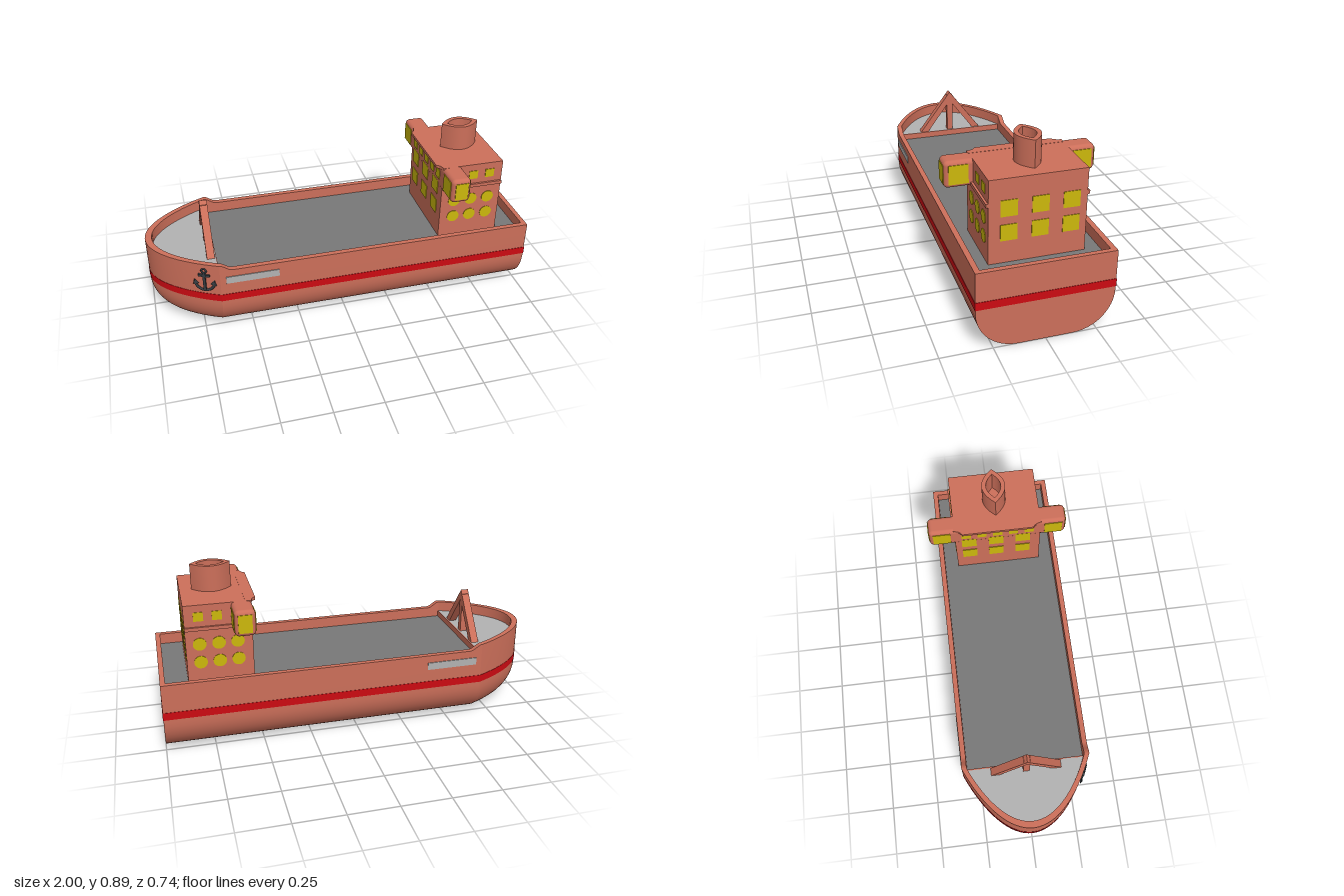
import * as THREE from 'three';
import { toCreasedNormals } from 'three/addons/utils/BufferGeometryUtils.js';
import { RoundedBoxGeometry } from 'three/addons/geometries/RoundedBoxGeometry.js';

const paint = (color) => new THREE.MeshStandardMaterial({ color, side: THREE.DoubleSide });
const HALF = 0.333, SHOULDER = -0.66, BILGE = 0.2, DECK = 0.345;

// Half of the hull plan, from the stern corner round to the bow tip
function halfPlan() {
  const bow = new THREE.CubicBezierCurve(
    new THREE.Vector2(SHOULDER, HALF), new THREE.Vector2(-0.83, 0.26),
    new THREE.Vector2(-1, 0.14), new THREE.Vector2(-1, 0));
  const side = [1];
  for (let i = 0; i <= 6; i++) side.push(-0.595 - i * 0.01);
  return [...side.map((x) => new THREE.Vector2(x, HALF)), ...bow.getPoints(18)];
}

// Closed ring: plan scaled in width and bow length, height given per x
function ring(widthScale, bowScale, sternX, height) {
  const half = halfPlan().map((p) => {
    const x = p.x > 0.99 ? sternX : p.x < SHOULDER ? SHOULDER + (p.x - SHOULDER) * bowScale : p.x;
    return new THREE.Vector3(x, height(x), p.y * widthScale);
  });
  const mirrored = half.slice(0, -1).reverse().map((p) => new THREE.Vector3(p.x, p.y, -p.z));
  return [...half, ...mirrored];
}

// Skin between successive rings, optionally closing the first ring underneath
function loft(rings, closeBottom) {
  const pos = [], n = rings[0].length;
  const tri = (...pts) => pts.forEach((p) => pos.push(p.x, p.y, p.z));
  for (let r = 0; r < rings.length - 1; r++) {
    for (let i = 0; i < n; i++) {
      const j = (i + 1) % n, a = rings[r], b = rings[r + 1];
      tri(a[i], b[i], a[j]);
      tri(b[i], b[j], a[j]);
    }
  }
  if (closeBottom) {
    const a = rings[0];
    for (let i = 0; i < (n - 1) / 2; i++) {
      tri(a[i], a[i + 1], a[n - 1 - i]);
      if (i < (n - 3) / 2) tri(a[i + 1], a[n - 2 - i], a[n - 1 - i]);
    }
  }
  const g = new THREE.BufferGeometry();
  g.setAttribute('position', new THREE.Float32BufferAttribute(pos, 3));
  return toCreasedNormals(g, 0.35);
}

// Plan shape (x, z) extruded downward from a top height
function slab(shape, top, depth) {
  const g = new THREE.ExtrudeGeometry(shape, { depth, bevelEnabled: false, curveSegments: 20 });
  return toCreasedNormals(g.rotateX(Math.PI / 2).translate(0, top, 0), 0.35);
}

function lens(path, r, control) {
  path.moveTo(0.7 - r, 0);
  path.quadraticCurveTo(0.7, control, 0.7 + r, 0);
  path.quadraticCurveTo(0.7, -control, 0.7 - r, 0);
  return path;
}

export function createModel() {
  const model = new THREE.Group();
  model.name = 'cargoShip';
  const clay = paint(0xcc6f5a), yellow = paint(0xccb80c), red = paint(0xcc0a12);
  const darkGrey = paint(0x787878), lightGrey = paint(0xb2b2b2), iron = paint(0x353b40);

  const add = (name, geometry, material, parent = model) => {
    const mesh = new THREE.Mesh(geometry, material);
    mesh.name = name;
    parent.add(mesh);
    return mesh;
  };
  // Box given by its limits
  const box = (name, material, x0, x1, y0, y1, z0, z1, parent) => {
    const mesh = add(name, new THREE.BoxGeometry(x1 - x0, y1 - y0, z1 - z0), material, parent);
    mesh.position.set((x0 + x1) / 2, (y0 + y1) / 2, (z0 + z1) / 2);
    return mesh;
  };

  // Hull: rounded bilge, topsides, rail and inner bulwark
  const rail = (x) => 0.402 + 0.032 * (1 - THREE.MathUtils.smoothstep(x, SHOULDER, -0.595));
  const rings = [];
  for (let i = 0; i <= 12; i++) {
    const a = (i / 12) * Math.PI / 2;
    const inset = BILGE * (1 - Math.sin(a)), y = BILGE * (1 - Math.cos(a));
    rings.push(ring(1 - inset / HALF, 1 - inset / 0.34, 1, () => y));
  }
  rings.push(ring(1, 1, 1, rail));
  rings.push(ring(0.92, 0.9, 0.975, rail));
  rings.push(ring(0.92, 0.9, 0.975, () => 0.32));
  add('hull', loft(rings, true), clay);
  const stripe = [0.215, 0.215, 0.255, 0.255].map((y, i) => {
    const out = i === 1 || i === 2;
    return ring(out ? 1.006 : 0.99, out ? 1.004 : 0.99, out ? 1.002 : 0.99, () => y);
  });
  add('redStripe', loft(stripe, false), red);

  // Decks
  box('mainDeck', darkGrey, SHOULDER, 0.978, 0.31, DECK, -0.31, 0.31);
  const bowShape = new THREE.Shape(ring(0.925, 0.905, 1, () => 0)
    .filter((p) => p.x <= SHOULDER + 1e-6).map((p) => new THREE.Vector2(p.x, p.z)));
  add('foredeck', slab(bowShape, 0.378, 0.04), lightGrey);
  box('foredeckStep', clay, SHOULDER - 0.004, SHOULDER + 0.003, 0.33, 0.378, -0.306, 0.306);

  // A-frame mast on the foredeck
  const mast = new THREE.Group();
  mast.name = 'mast';
  model.add(mast);
  box('mastPost', clay, -0.702, -0.668, 0.37, 0.6, -0.017, 0.017, mast);
  for (const s of [1, -1]) {
    const leg = new THREE.Shape([[0, 0.62], [s * 0.19, 0.37], [s * 0.145, 0.37], [0, 0.565]]
      .map(([z, y]) => new THREE.Vector2(-z, y)));
    const g = new THREE.ExtrudeGeometry(leg, { depth: 0.04, bevelEnabled: false });
    add('mastLeg', g.rotateY(Math.PI / 2).translate(-0.705, 0, 0), clay, mast);
  }

  // Side plates
  for (const s of [1, -1]) {
    box('sidePlate', lightGrey, -0.63, -0.36, 0.323, 0.362, s * HALF - 0.004, s * HALF + 0.004);
  }

  // Anchor on the bow
  const anchor = new THREE.Group();
  anchor.name = 'anchor';
  anchor.position.set(-0.735, 0.34, 0.3);
  anchor.rotation.y = -0.41;
  model.add(anchor);
  box('anchorShank', iron, -0.007, 0.007, -0.06, 0.045, -0.008, 0.007, anchor);
  box('anchorStock', iron, -0.03, 0.03, 0.024, 0.036, -0.008, 0.007, anchor);
  add('anchorRing', new THREE.TorusGeometry(0.012, 0.005, 6, 16), iron, anchor).position.y = 0.056;
  const arms = add('anchorArms', new THREE.TorusGeometry(0.05, 0.007, 6, 20, Math.PI * 0.9), iron, anchor);
  arms.rotation.z = Math.PI * 1.05;
  arms.position.y = -0.012;
  for (const s of [1, -1]) {
    const fluke = add('anchorFluke', new THREE.ConeGeometry(0.016, 0.032, 4), iron, anchor);
    fluke.scale.z = 0.5;
    fluke.position.set(s * 0.05, -0.01, 0);
    fluke.rotation.z = s * -0.25;
  }

  // Deckhouse with ledge, bridge wings and roof visor
  const house = new THREE.Group();
  house.name = 'deckhouse';
  model.add(house);
  box('houseBody', clay, 0.53, 0.86, 0.34, 0.76, -0.232, 0.232, house);
  box('sideLedge', clay, 0.535, 0.86, 0.63, 0.648, -0.243, 0.243, house);
  const wings = add('bridgeWings', new RoundedBoxGeometry(0.102, 0.132, 0.734, 4, 0.022), clay, house);
  wings.position.set(0.579, 0.694, 0);
  const visor = new THREE.Shape();
  visor.moveTo(0.56, -0.235);
  visor.lineTo(0.53, -0.235);
  visor.quadraticCurveTo(0.527, -0.2, 0.505, -0.19);
  visor.lineTo(0.505, 0.19);
  visor.quadraticCurveTo(0.527, 0.2, 0.53, 0.235);
  visor.lineTo(0.56, 0.235);
  add('roofVisor', slab(visor, 0.761, 0.016), clay, house);

  // Windows on the fore and aft faces
  const crossWindow = (x, y, z, w, h) =>
    box('window', yellow, x - 0.003, x + 0.003, y - h / 2, y + h / 2, z - w / 2, z + w / 2, house);
  for (const x of [0.53, 0.86]) {
    for (const y of [0.497, 0.617]) {
      for (const z of [-0.157, -0.01, 0.137]) crossWindow(x, y, z, 0.08, 0.08);
    }
  }
  for (let i = -2; i <= 2; i++) crossWindow(0.528, 0.7, i * 0.085, 0.05, 0.05);
  for (const s of [1, -1]) {
    for (const x of [0.528, 0.63]) crossWindow(x, 0.694, s * 0.3, 0.094, 0.094);
    // Wing ends, upper side windows and round portholes
    box('wingEndWindow', yellow, 0.546, 0.614, 0.648, 0.74, s * 0.367 - 0.003, s * 0.367 + 0.003, house);
    for (const x of [0.7, 0.79]) {
      box('sideWindow', yellow, x - 0.024, x + 0.024, 0.677, 0.723, s * 0.232 - 0.003, s * 0.232 + 0.003, house);
    }
    for (const x of [0.605, 0.698, 0.792]) {
      for (const y of [0.46, 0.556]) {
        const porthole = add('porthole', new THREE.CylinderGeometry(0.033, 0.033, 0.006, 28), yellow, house);
        porthole.rotation.x = Math.PI / 2;
        porthole.position.set(x, y, s * 0.232);
      }
    }
  }

  // Hollow lens-shaped funnel
  const funnel = lens(new THREE.Shape(), 0.1, 0.124);
  funnel.holes.push(lens(new THREE.Path(), 0.07, 0.078));
  add('funnel', slab(funnel, 0.893, 0.14), clay);

  return model;
}
